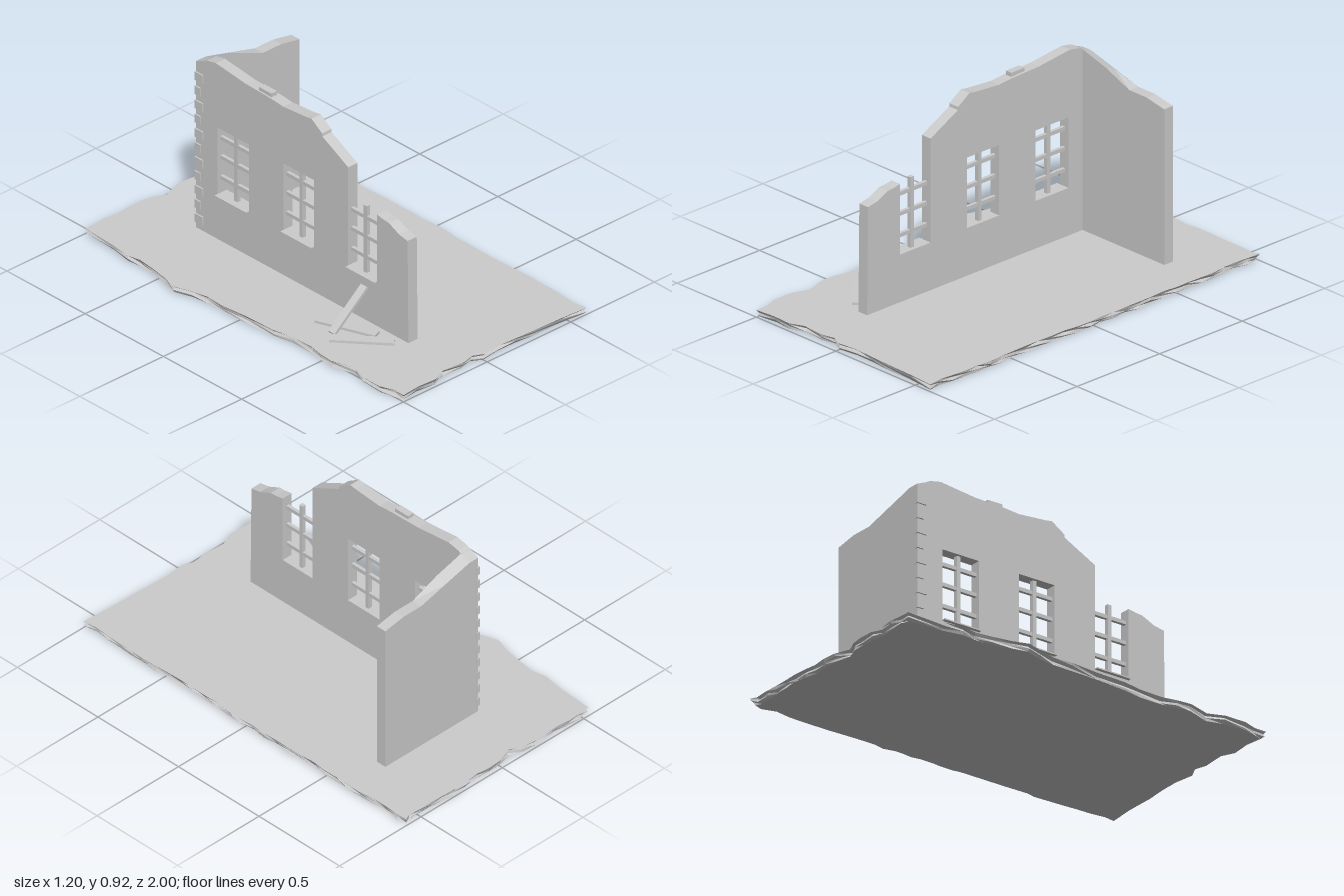
import * as THREE from 'three';

const material = new THREE.MeshStandardMaterial({ color: 0xcccccc, flatShading: true, side: THREE.DoubleSide });
const GROUND = 0.034;

function add(parent, geometry, name) {
  const mesh = new THREE.Mesh(geometry, material);
  mesh.name = name;
  parent.add(mesh);
  return mesh;
}

function box(parent, name, [x0, x1], [y0, y1], [z0, z1]) {
  const mesh = add(parent, new THREE.BoxGeometry(x1 - x0, y1 - y0, z1 - z0), name);
  mesh.position.set((x0 + x1) / 2, (y0 + y1) / 2, (z0 + z1) / 2);
  return mesh;
}

const shapeOf = (points) => new THREE.Shape(points.map(([x, y]) => new THREE.Vector2(x, y)));

function seeded(seed) {
  return () => {
    seed = (seed * 16807) % 2147483647;
    return seed / 2147483647;
  };
}

// Ground slab with a broken rim; lower layers are eroded inward
function groundGeometry() {
  const rand = seeded(71);
  const left = [[-0.54, -0.99], [-0.55, -0.8], [-0.565, -0.7], [-0.55, -0.63], [-0.56, -0.54], [-0.575, -0.45],
    [-0.6, -0.37], [-0.57, -0.28], [-0.55, -0.2], [-0.555, -0.1], [-0.54, 0.05], [-0.535, 0.2], [-0.515, 0.3],
    [-0.51, 0.42], [-0.525, 0.5], [-0.53, 0.57], [-0.495, 0.68], [-0.525, 0.76], [-0.525, 0.87], [-0.5, 0.94]];
  const front = [[-0.5, 1], [-0.4, 0.99], [-0.3, 0.995], [-0.23, 0.965], [-0.12, 0.975], [-0.05, 0.96],
    [0, 0.985], [0.1, 0.975], [0.2, 0.98], [0.3, 0.985], [0.45, 0.99], [0.595, 1]];
  const right = [];
  for (let z = 0.93; z > -0.95; z -= 0.075) right.push([0.585 + 0.015 * rand(), z]);
  const back = [[0.59, -1], [0.56, -0.985]];
  for (let x = 0.49; x > -0.5; x -= 0.07) back.push([x, -0.983 - 0.015 * rand()]);
  back.splice(10, 1, [-0.08, -0.96]);
  const outline = [...left, ...front, ...right, ...back].map(([x, z]) => [x, -z]);
  const geo = new THREE.ExtrudeGeometry(shapeOf(outline), { depth: GROUND, steps: 3, bevelEnabled: false });
  geo.rotateX(-Math.PI / 2);
  const p = geo.attributes.position;
  for (let i = 0; i < p.count; i++) {
    const x = p.getX(i), y = p.getY(i), z = p.getZ(i);
    const layer = Math.round((y / GROUND) * 3);
    if (layer === 3) continue;
    const wave = Math.abs(Math.sin(x * 37 + z * 23 + layer * 2.1));
    const inset = 0.022 * wave * (layer === 0 ? 0.8 : 0.6);
    p.setX(i, x - Math.sign(x) * inset * (Math.abs(x) > 0.48 ? 1 : 0));
    p.setZ(i, z - Math.sign(z) * inset * (Math.abs(z) > 0.94 ? 1 : 0));
    if (layer > 0) p.setY(i, y + 0.004 * Math.sin(x * 51 + z * 29));
  }
  geo.computeVertexNormals();
  return geo;
}

// Long wall: broken skyline, one window open at the top, two whole windows
function longWallGeometry() {
  const profile = [[0.69, 0.02], [0.684, 0.55], [0.63, 0.56], [0.565, 0.59], [0.53, 0.593], [0.49, 0.6],
    [0.49, 0.26], [0.305, 0.26], [0.305, 0.76], [0.14, 0.845], [0.138, 0.86], [0.07, 0.905], [0.04, 0.9],
    [-0.11, 0.888], [-0.19, 0.895], [-0.35, 0.9], [-0.54, 0.922], [-0.6, 0.91], [-0.616, 0.9], [-0.616, 0.02]];
  const shape = shapeOf(profile.map(([z, y]) => [-z, y]));
  for (const [z0, z1] of [[-0.11, 0.085], [-0.53, -0.33]]) {
    const hole = new THREE.Path();
    hole.moveTo(-z0, 0.26).lineTo(-z0, 0.6).lineTo(-z1, 0.6).lineTo(-z1, 0.26).closePath();
    shape.holes.push(hole);
  }
  const geo = new THREE.ExtrudeGeometry(shape, { depth: 0.055, bevelEnabled: false });
  return geo.rotateY(Math.PI / 2).translate(-0.18, 0, 0);
}

// Short wall: sloping broken top, chipped lower at the rear corner
function shortWallGeometry() {
  const shape = shapeOf([[-0.18, 0.02], [0.39, 0.02], [0.39, 0.78], [0.28, 0.8], [0.17, 0.8], [0.02, 0.86],
    [-0.125, 0.9], [-0.18, 0.9]]);
  const geo = new THREE.ExtrudeGeometry(shape, { depth: 0.053, bevelEnabled: false }).translate(0, 0, -0.668);
  const p = geo.attributes.position;
  for (let i = 0; i < p.count; i++) {
    if (p.getY(i) > 0.85 && p.getZ(i) < -0.65) p.setY(i, p.getY(i) - 0.022);
  }
  geo.computeVertexNormals();
  return geo;
}

// Flat board stretched between two points
function plank(parent, from, to, width, thickness) {
  const a = new THREE.Vector3(...from), b = new THREE.Vector3(...to);
  const mesh = add(parent, new THREE.BoxGeometry(width, thickness, a.distanceTo(b)), 'plank');
  mesh.position.copy(a).add(b).multiplyScalar(0.5);
  mesh.lookAt(b);
}

export function createModel() {
  const model = new THREE.Group();
  model.name = 'ruinedBuilding';
  add(model, groundGeometry(), 'ground');
  add(model, longWallGeometry(), 'longWall');
  add(model, shortWallGeometry(), 'shortWall');
  box(model, 'looseBrick', [-0.172, -0.138], [0.885, 0.914], [-0.275, -0.195]);

  // Window bars and outer sills
  for (const [z0, z1] of [[0.305, 0.49], [-0.11, 0.085], [-0.53, -0.33]]) {
    const frame = new THREE.Group();
    frame.name = 'window';
    const mid = (z0 + z1) / 2;
    box(frame, 'verticalBar', [-0.165, -0.145], [0.26, 0.6], [mid - 0.01, mid + 0.01]);
    for (const y of [0.34, 0.443, 0.54]) {
      box(frame, 'crossBar', [-0.163, -0.147], [y - 0.009, y + 0.009], [z0, z1]);
    }
    box(frame, 'sill', [-0.198, -0.125], [0.256, 0.262], [z0, z1]);
    model.add(frame);
  }

  // Corner bricks, alternately long and short
  for (let i = 0; i < 11; i++) {
    const y = 0.065 + i * 0.072;
    const length = i % 2 ? 0.035 : 0.05;
    box(model, 'cornerBrick', [-0.187, -0.17], [y, y + 0.042], [-0.671, -0.671 + length]);
  }

  // Fallen planks, one leaning on the wall
  plank(model, [-0.375, 0.042, 0.41], [-0.18, 0.203, 0.41], 0.04, 0.014);
  plank(model, [-0.425, 0.053, 0.445], [-0.225, 0.043, 0.65], 0.052, 0.012);
  plank(model, [-0.345, 0.046, 0.28], [-0.235, 0.04, 0.55], 0.048, 0.012);
  return model;
}
